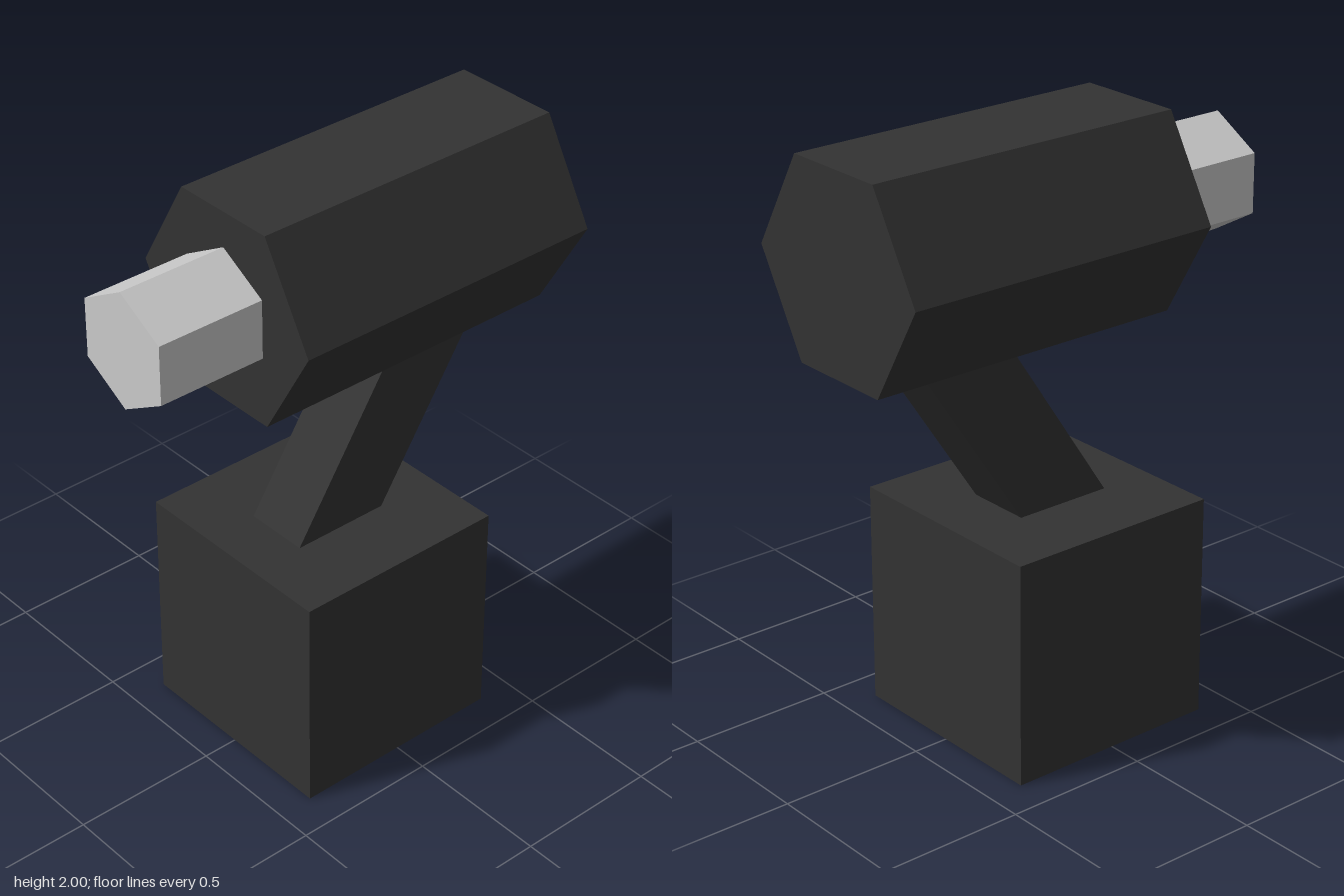
import * as THREE from 'three';

export function createModel() {
  const model = new THREE.Group();
  const dark = new THREE.MeshStandardMaterial({ color: 0x333333, flatShading: true });
  const grey = new THREE.MeshStandardMaterial({ color: 0xcccccc, flatShading: true });

  function add(name, geometry, material, y, z) {
    const mesh = new THREE.Mesh(geometry, material);
    mesh.name = name;
    mesh.position.set(0, y, z);
    model.add(mesh);
    return mesh;
  }

  // Hexagonal prism lying along z; turn spins it about its own axis
  const hexPrism = (radius, length, turn) =>
    new THREE.CylinderGeometry(radius, radius, length, 6).rotateY(turn).rotateX(Math.PI / 2);

  // Cube-shaped battery at the foot
  add('battery', new THREE.BoxGeometry(0.756, 0.76, 0.756), dark, 0.38, 0);

  // Slanted grip, its ends sunk into the battery and the body
  const grip = add('grip', new THREE.BoxGeometry(0.226, 0.9, 0.288), dark, 1.0525, -0.175);
  grip.rotation.x = -Math.atan2(0.385, 0.585);

  // Body with flat sides on top and bottom
  add('body', hexPrism(0.378, 1.134, Math.PI / 6), dark, 1.673, -0.189);

  // Chuck at the front, with a corner on top
  add('chuck', hexPrism(0.2, 0.378, 0), grey, 1.68, 0.567);

  return model;
}
